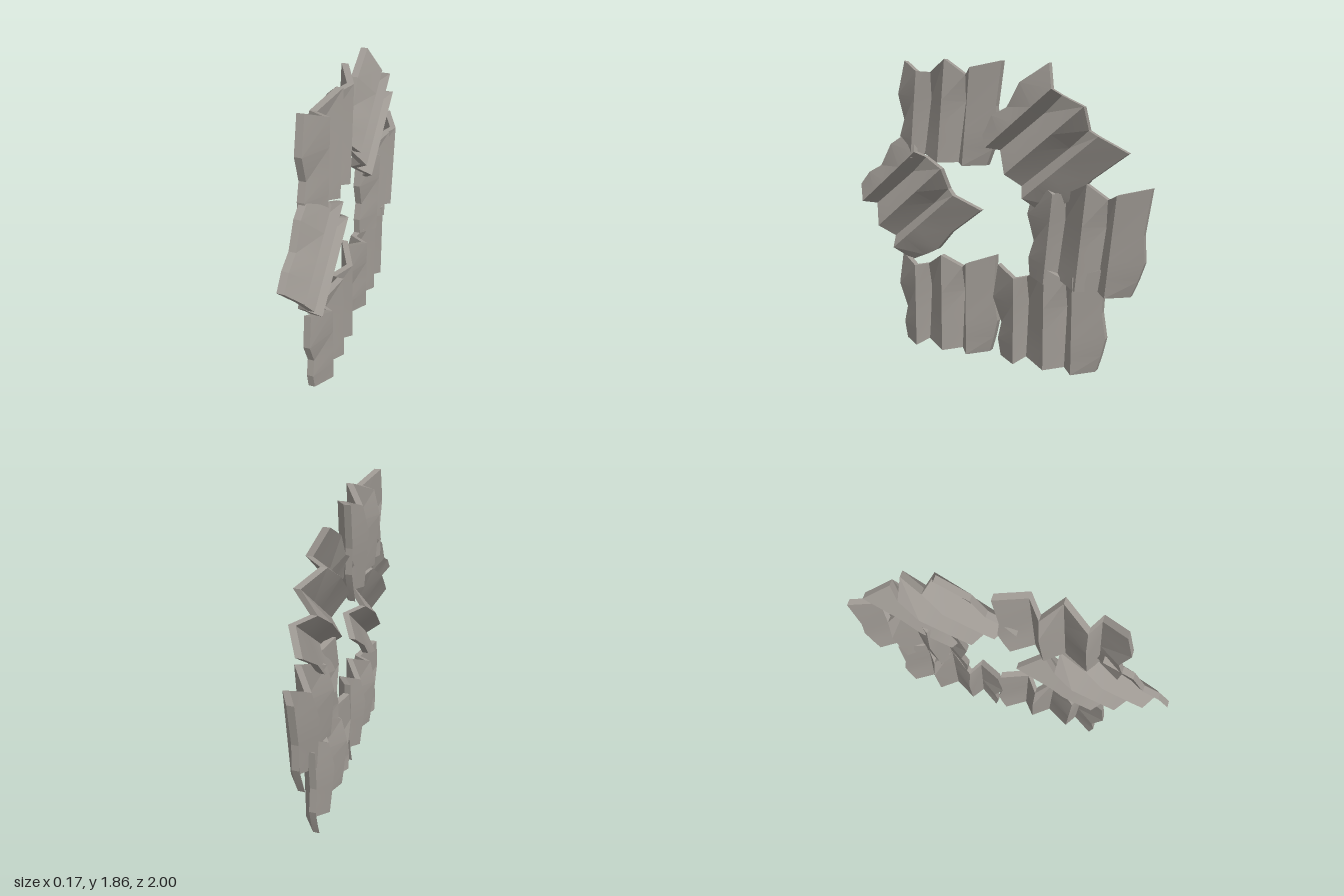
import * as THREE from 'three';
import { toCreasedNormals } from 'three/addons/utils/BufferGeometryUtils.js';

// Fold lines of one pleated panel, from its front edge to its rear edge:
// z, front-surface x, top y, bottom y, and how far the fold sinks at mid height
const FOLDS = [
  { z: 0.665, x: 0.0, top: 0.60, bottom: 0.01, sink: 0 },
  { z: 0.52, x: 0.08, top: 0.545, bottom: 0.0, sink: 0 },
  { z: 0.47, x: -0.008, top: 0.545, bottom: 0.03, sink: 0.035 },
  { z: 0.32, x: 0.08, top: 0.635, bottom: 0.0, sink: 0 },
  { z: 0.215, x: -0.008, top: 0.55, bottom: 0.01, sink: 0.035 },
  { z: 0.14, x: 0.08, top: 0.60, bottom: 0.005, sink: 0 },
  { z: -0.025, x: -0.008, top: 0.655, bottom: 0.02, sink: 0 },
];
const ROWS = [0, 0.12, 0.23, 0.385, 1]; // first and last follow each fold's ends
const FRONT_EDGE = [0.645, 0.665, 0.64, 0.70, 0.665]; // wavy side outlines (z per row)
const REAR_EDGE = [0.015, -0.015, -0.04, -0.014, -0.027];
const SINK = [0, 0.31, 0.6, 1, 0];
const THICKNESS = 0.041;
const PIVOT = { y: 0.635, z: 0.32 }; // top of the middle ridge

function panelGeometry() {
  const last = FOLDS.length - 1;
  const top = ROWS.length - 1;
  const point = (c, r, back) => {
    const f = FOLDS[c];
    const z = c === 0 ? FRONT_EDGE[r] : c === last ? REAR_EDGE[r] : f.z;
    const y = r === 0 ? f.bottom : r === top ? f.top : ROWS[r];
    const x = f.x - f.sink * SINK[r] - (back ? THICKNESS : 0);
    return [x, y - PIVOT.y, z - PIVOT.z];
  };
  const positions = [];
  const quad = (a, b, c, d) => positions.push(...a, ...b, ...c, ...a, ...c, ...d);

  // pleated faces on both sides
  for (let c = 0; c < last; c++) {
    for (let r = 0; r < top; r++) {
      for (const back of [false, true]) {
        const q = [point(c, r, back), point(c + 1, r, back), point(c + 1, r + 1, back), point(c, r + 1, back)];
        if (back) q.reverse();
        quad(...q);
      }
    }
  }
  // rim: walk the outline counterclockwise as seen from +x
  const outline = [];
  for (let c = 0; c < last; c++) outline.push([c, 0]);
  for (let r = 0; r < top; r++) outline.push([last, r]);
  for (let c = last; c > 0; c--) outline.push([c, top]);
  for (let r = top; r > 0; r--) outline.push([0, r]);
  outline.forEach((a, i) => {
    const b = outline[(i + 1) % outline.length];
    quad(point(...b, false), point(...a, false), point(...a, true), point(...b, true));
  });

  const geometry = new THREE.BufferGeometry();
  geometry.setAttribute('position', new THREE.Float32BufferAttribute(positions, 3));
  return toCreasedNormals(geometry, 0.2); // smooth within each pleat, sharp at the folds
}

export function createModel() {
  const model = new THREE.Group();
  model.name = 'panelRing';
  const geometry = panelGeometry();
  const material = new THREE.MeshStandardMaterial({ color: 0x9d9892 });

  // panels: name, pivot position, tilt towards the rear in degrees
  const panels = [
    ['lowerFrontPanel', 0, 0.635, 0.32, 0],
    ['lowerRearPanel', -0.006, 0.635, -0.39, 0],
    ['middleFrontPanel', 0, 1.185, 0.315, 50.7],
    ['middleRearPanel', 0, 1.15, -0.648, 5.5],
    ['upperFrontPanel', -0.008, 1.855, 0.285, 5.5],
    ['upperRearPanel', 0, 1.578, -0.62, 50.7],
  ];
  for (const [name, x, y, z, tilt] of panels) {
    const panel = new THREE.Mesh(geometry, material);
    panel.name = name;
    panel.position.set(x, y, z);
    panel.rotation.x = -THREE.MathUtils.degToRad(tilt);
    model.add(panel);
  }
  return model;
}
